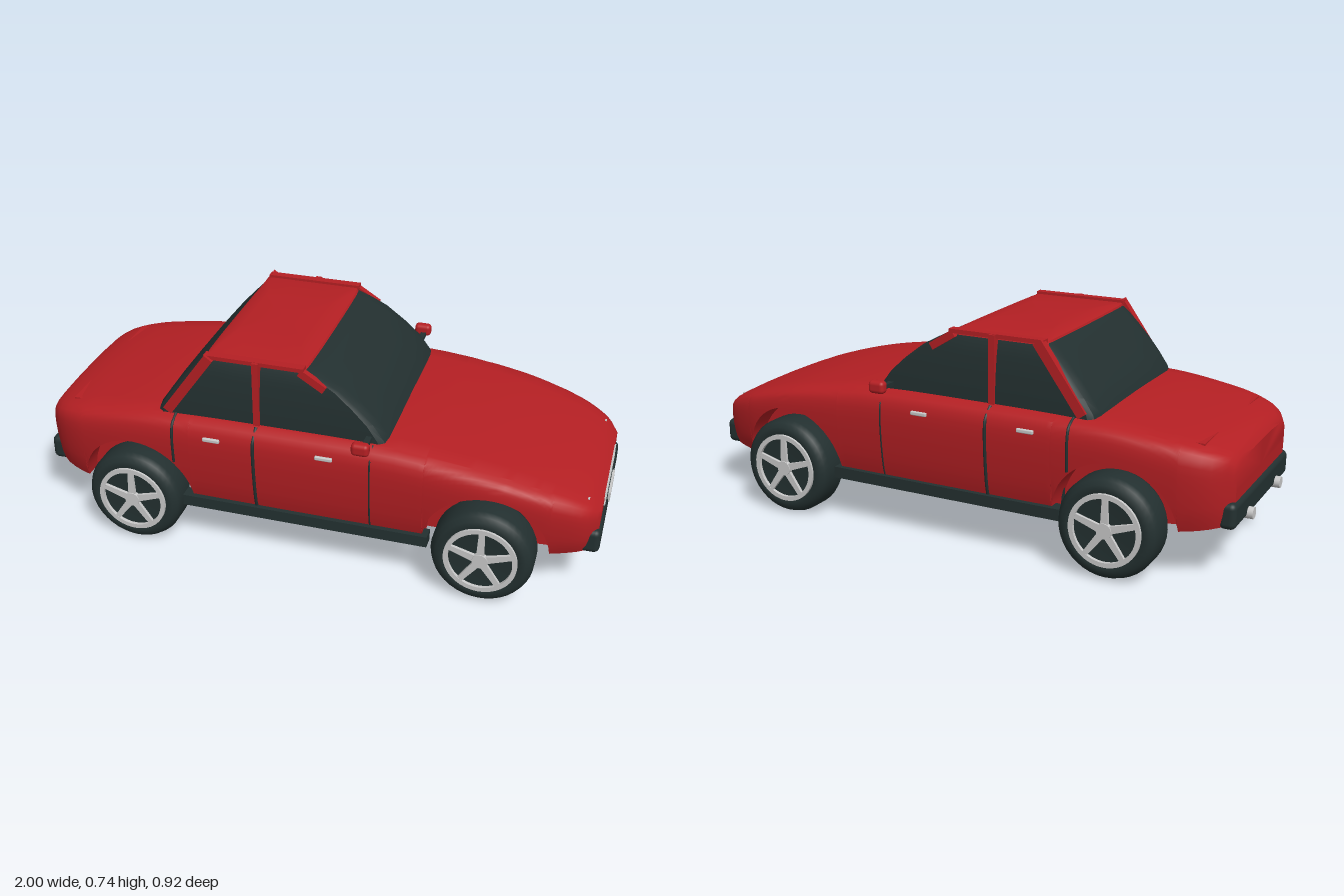
import * as THREE from 'three';
import { toCreasedNormals } from 'three/addons/utils/BufferGeometryUtils.js';
import { RoundedBoxGeometry } from 'three/addons/geometries/RoundedBoxGeometry.js';

const mat = (name, color) => new THREE.MeshStandardMaterial({ name, color });

// Smooth interpolation through [x, y] keys
function curve(keys) {
  const n = keys.length;
  const slope = (i) => {
    const a = keys[Math.max(i - 1, 0)], b = keys[Math.min(i + 1, n - 1)];
    return (b[1] - a[1]) / (b[0] - a[0]);
  };
  return (x) => {
    let i = 0;
    while (i < n - 2 && x > keys[i + 1][0]) i++;
    const [x0, y0] = keys[i], [x1, y1] = keys[i + 1], h = x1 - x0;
    const t = Math.min(Math.max((x - x0) / h, 0), 1), u = 1 - t;
    return y0 * (1 + 2 * t) * u * u + slope(i) * h * t * u * u
      + y1 * t * t * (3 - 2 * t) - slope(i + 1) * h * t * t * u;
  };
}

// Skin a list of closed rings, with a cap at each end
function loft(rings, crease) {
  const n = rings[0].length, pos = rings.flat(2), index = [];
  for (let i = 0; i < rings.length - 1; i++) {
    for (let j = 0; j < n; j++) {
      const k = (j + 1) % n, a = i * n, b = a + n;
      index.push(a + j, b + j, b + k, a + j, b + k, a + k);
    }
  }
  [0, rings.length - 1].forEach((r, end) => {
    const c = pos.length / 3;
    for (let d = 0; d < 3; d++) pos.push(rings[r].reduce((s, p) => s + p[d], 0) / n);
    for (let j = 0; j < n; j++) {
      const p = r * n + j, q = r * n + (j + 1) % n;
      index.push(c, end ? q : p, end ? p : q);
    }
  });
  const g = new THREE.BufferGeometry();
  g.setAttribute('position', new THREE.Float32BufferAttribute(pos, 3));
  g.setIndex(index);
  return toCreasedNormals(g, crease);
}

// Body outlines along the length (x)
const topY = curve([[-0.97, 0.405], [-0.95, 0.43], [-0.88, 0.457], [-0.75, 0.482], [-0.53, 0.507], [0, 0.514],
  [0.28, 0.51], [0.45, 0.493], [0.65, 0.46], [0.85, 0.407], [0.95, 0.363], [0.985, 0.335]]);
const bottomY = curve([[-0.97, 0.2], [-0.8, 0.175], [-0.6, 0.165], [0.7, 0.165], [0.985, 0.18]]);
const halfWidth = curve([[-0.97, 0.27], [-0.93, 0.325], [-0.88, 0.357], [-0.8, 0.38], [-0.6, 0.397], [-0.2, 0.403],
  [0.3, 0.403], [0.6, 0.397], [0.8, 0.373], [0.9, 0.343], [0.95, 0.315], [0.985, 0.27]]);
// Bulge of the side from bottom (0) to shoulder (1)
const bulge = curve([[0, 0.915], [0.15, 0.955], [0.4, 0.985], [0.7, 1], [0.86, 0.99], [0.95, 0.955], [1, 0.87]]);
const CROWN = 0.012, ARCH = 0.21, AXLE_Y = 0.172, AXLES = [-0.605, 0.628];

function sideZ(x, y) {
  const b = bottomY(x);
  return halfWidth(x) * bulge((y - b) / (topY(x) - CROWN - b));
}

function bodySection(x) {
  const b = bottomY(x), t = topY(x) - CROWN, w = halfWidth(x);
  let low = b;
  for (const a of AXLES) {
    const d = ARCH * ARCH - (x - a) ** 2;
    if (d > 1e-6) low = Math.max(low, AXLE_Y + Math.sqrt(d));
  }
  const inner = Math.min(0.285, w * 0.8);
  const half = [[0, b], [inner, b], [inner, low]];
  const f0 = (low - b) / (t - b);
  for (let k = 0; k <= 10; k++) {
    const f = f0 + (1 - f0) * Math.sin(k / 10 * Math.PI / 2);
    half.push([w * bulge(f), b + (t - b) * f]);
  }
  half.push([w * 0.72, t + 0.005], [w * 0.4, t + 0.01], [0, t + CROWN]);
  const other = half.slice(1, -1).reverse().map(([z, y]) => [-z, y]);
  return half.concat(other).map(([z, y]) => [x, y, z]);
}

function bodyGeometry() {
  const xs = [-0.97, -0.962, -0.95, -0.935, -0.91, -0.88, -0.85, 0.87, 0.9, 0.925, 0.945, 0.96, 0.975, 0.985];
  for (let i = 0; i <= 10; i++) xs.push(-0.38 + i * 0.078);
  for (const a of AXLES) {
    for (let i = 0; i <= 24; i++) xs.push(a - ARCH * Math.cos(i / 24 * Math.PI));
    xs.push(a - ARCH - 0.001, a + ARCH + 0.001);
  }
  return loft(xs.sort((p, q) => p - q).map(bodySection), 0.6);
}

// Rounded rectangular ring at height y
function cabinRing([y, rear, front, hw]) {
  const q = [[1, 0], [0.997, 0.5], [0.985, 0.85], [0.965, 0.96], [0.92, 1], [0.4, 1]];
  const r = [...q].reverse();
  const unit = [...q, ...r.map(([x, z]) => [-x, z]), ...q.slice(1).map(([x, z]) => [-x, -z]),
    ...r.slice(0, -1).map(([x, z]) => [x, -z])];
  return unit.map(([x, z]) => [(front + rear) / 2 + x * (front - rear) / 2, y, z * hw]);
}

export function createModel() {
  const car = new THREE.Group();
  car.name = 'car';
  const red = mat('red paint', 0xb41f23), dark = mat('dark rubber and glass', 0x233030);
  const silver = mat('silver', 0xc8c8c8);

  const add = (name, geo, material, x = 0, y = 0, z = 0, parent = car) => {
    const m = new THREE.Mesh(geo, material);
    m.name = name;
    m.position.set(x, y, z);
    parent.add(m);
    return m;
  };
  const box = (name, material, w, h, d, x, y, z) => add(name, new THREE.BoxGeometry(w, h, d), material, x, y, z);
  const bar = (name, a, b, width, depth, z) => {
    const dx = b[0] - a[0], dy = b[1] - a[1];
    const m = box(name, red, Math.hypot(dx, dy), width, depth, (a[0] + b[0]) / 2, (a[1] + b[1]) / 2, z);
    m.rotation.z = Math.atan2(dy, dx);
  };

  add('body', bodyGeometry(), red);

  // Cabin: glass, then roof skin
  add('cabinGlass', loft([[0.48, -0.54, 0.3, 0.35], [0.51, -0.53, 0.283, 0.35], [0.56, -0.495, 0.245, 0.348],
    [0.61, -0.455, 0.19, 0.344], [0.66, -0.41, 0.125, 0.338], [0.7, -0.372, 0.05, 0.33],
    [0.72, -0.35, 0, 0.32]].map(cabinRing), 0.6), dark);
  add('roof', loft([[0.712, -0.355, 0.01, 0.327], [0.724, -0.35, 0.002, 0.322],
    [0.732, -0.335, -0.02, 0.26], [0.737, -0.3, -0.06, 0.14]].map(cabinRing), 0.6), red);

  for (const s of [1, -1]) {
    // Pillars and roof rail
    bar('rearPillar', [-0.485, 0.505], [-0.325, 0.728], 0.034, 0.028, s * 0.342);
    bar('middlePillar', [-0.163, 0.5], [-0.163, 0.733], 0.022, 0.028, s * 0.342);
    bar('roofRail', [-0.345, 0.727], [0, 0.727], 0.014, 0.03, s * 0.33);
    bar('frontPillar', [-0.015, 0.718], [0.07, 0.665], 0.026, 0.022, s * 0.333);

    // Door seams following the side
    [[-0.455, 0.005, 0.4], [-0.163, 0.006, 0.19], [0.24, 0.003, 0.19]].forEach(([x, r, y0]) => {
      const pts = [];
      const start = x < -0.4 ? 0.33 : y0;
      for (let i = 0; i <= 8; i++) {
        const y = start + (0.497 - start) * i / 8;
        pts.push(new THREE.Vector3(x, y, s * sideZ(x, y)));
      }
      add('doorSeam', new THREE.TubeGeometry(new THREE.CatmullRomCurve3(pts), 16, r, 6), dark);
    });
    box('rearSeamLower', dark, 0.01, 0.16, 0.01, -0.4, 0.26, s * 0.3);

    for (const x of [-0.31, 0.085]) {
      add('doorHandle', new RoundedBoxGeometry(0.06, 0.014, 0.012, 2, 0.004), silver, x, 0.445, s * 0.405);
    }
    box('sill', dark, 0.87, 0.04, 0.05, 0.005, 0.176, s * 0.372);

    // Mirror
    box('mirrorStem', dark, 0.02, 0.014, 0.08, 0.225, 0.518, s * 0.39);
    add('mirror', new RoundedBoxGeometry(0.06, 0.044, 0.036, 3, 0.014), red, 0.22, 0.53, s * 0.44);

    const pipe = add('exhaustPipe', new THREE.CylinderGeometry(0.02, 0.02, 0.1, 20), silver, -0.95, 0.205, s * 0.155);
    pipe.rotation.z = Math.PI / 2;
    box('hoodJet', silver, 0.006, 0.004, 0.01, 0.94, topY(0.94) - 0.008, s * 0.255);
  }

  // Bumpers, number plate, grille and boot lip
  add('frontBumper', new RoundedBoxGeometry(0.085, 0.087, 0.6, 4, 0.02), dark, 0.952, 0.218, 0);
  add('rearBumper', new RoundedBoxGeometry(0.058, 0.088, 0.6, 4, 0.02), dark, -0.952, 0.233, 0);
  box('numberPlate', silver, 0.008, 0.034, 0.15, 0.996, 0.256, 0);
  for (const y of [0.281, 0.302, 0.323]) box('grilleBar', silver, 0.008, 0.007, 0.32, 0.986, y, 0);
  box('bootLip', red, 0.065, 0.03, 0.58, -0.837, 0.442, 0);

  // Wheels: axis along y in the profile, turned outward along z
  const tyre = new THREE.LatheGeometry([[0, -0.07], [0.13, -0.07], [0.15, -0.066], [0.164, -0.055], [0.172, -0.035],
    [0.172, 0.035], [0.164, 0.055], [0.15, 0.068], [0.128, 0.072], [0.122, 0.062], [0, 0.062]]
    .map(([r, y]) => new THREE.Vector2(r, y)), 40);
  const ring = new THREE.Shape().absarc(0, 0, 0.123, 0, Math.PI * 2);
  ring.holes.push(new THREE.Path().absarc(0, 0, 0.107, 0, Math.PI * 2, true));
  const spoke = new THREE.Shape([[-0.013, 0.015], [0.013, 0.015], [0.009, 0.112], [-0.009, 0.112]]
    .map((p) => new THREE.Vector2(...p)));
  const extrude = (shape) => new THREE.ExtrudeGeometry(shape, { depth: 0.012, bevelEnabled: false, curveSegments: 24 });
  for (const x of AXLES) {
    for (const s of [1, -1]) {
      const wheel = new THREE.Group();
      wheel.name = 'wheel';
      wheel.position.set(x, AXLE_Y, s * 0.368);
      if (s < 0) wheel.rotation.y = Math.PI;
      car.add(wheel);
      add('tyre', tyre, dark, 0, 0, 0, wheel).rotation.x = Math.PI / 2;
      add('rim', extrude(ring), silver, 0, 0, 0.062, wheel);
      add('hub', new THREE.CylinderGeometry(0.026, 0.028, 0.016, 20), silver, 0, 0, 0.068, wheel).rotation.x = Math.PI / 2;
      for (let i = 0; i < 5; i++) {
        add('spoke', extrude(spoke), silver, 0, 0, 0.061, wheel).rotation.z = i * Math.PI * 0.4;
      }
    }
  }
  return car;
}
